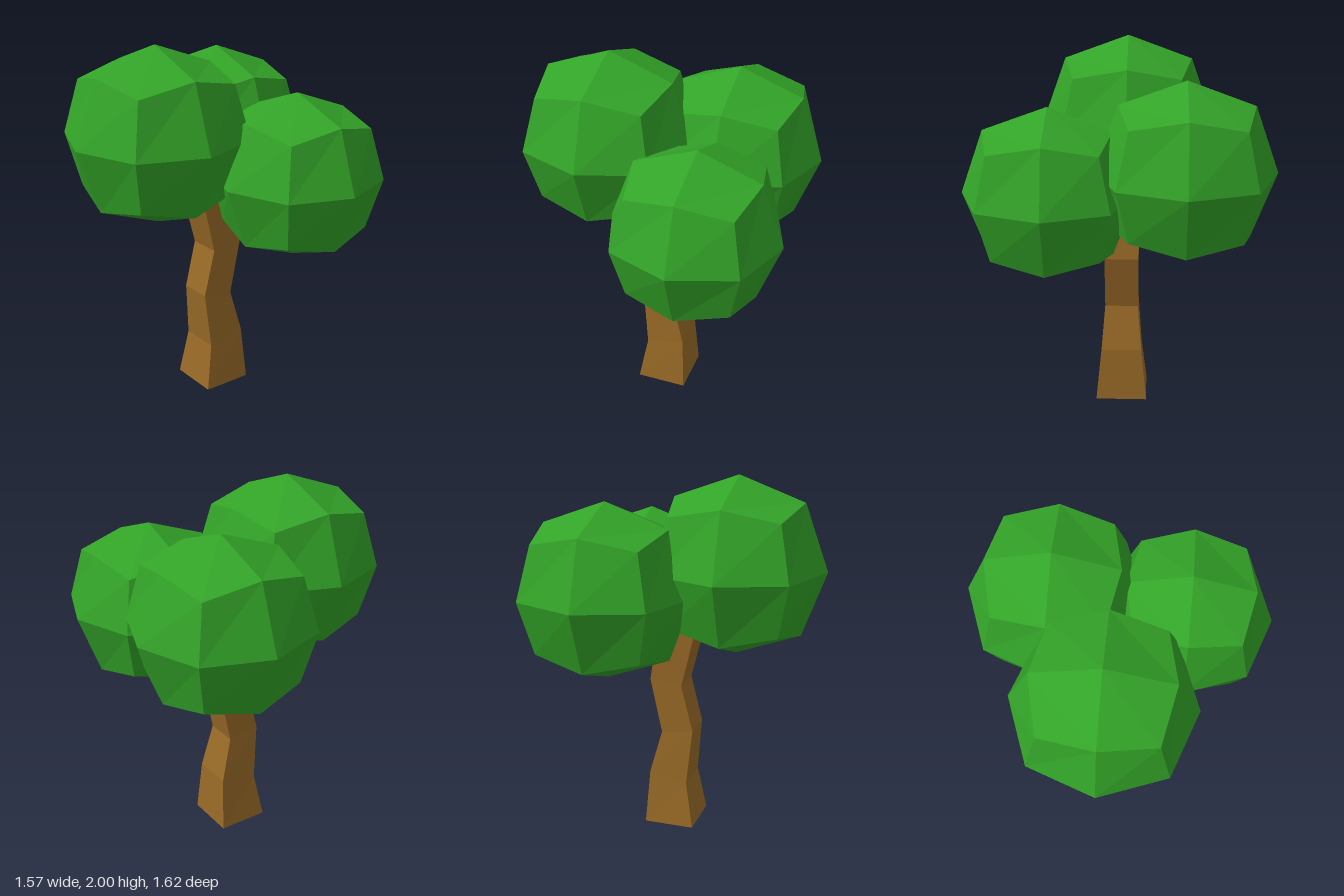
import * as THREE from 'three';

const leafGreen = new THREE.MeshStandardMaterial({ name: 'leaf green', color: 0x33a428 });
const barkBrown = new THREE.MeshStandardMaterial({ name: 'bark brown', color: 0x996a27 });

// Separate the faces so every facet is shaded flat
function faceted(geometry) {
  const g = geometry.toNonIndexed();
  g.computeVertexNormals();
  return g;
}

// Leaf ball: a 2x2x2 cube grid, its edge midpoints and corners pulled in towards a sphere
function leafBall(name, radius, x, y, z) {
  const g = new THREE.BoxGeometry(2, 2, 2, 2, 2, 2);
  const pos = g.attributes.position;
  const pull = [0, 1, 0.733, 0.606]; // face centre, edge midpoint, corner
  const v = new THREE.Vector3();
  for (let i = 0; i < pos.count; i++) {
    v.fromBufferAttribute(pos, i).round();
    const axes = Math.abs(v.x) + Math.abs(v.y) + Math.abs(v.z);
    v.multiplyScalar(radius * pull[axes]);
    pos.setXYZ(i, v.x, v.y, v.z);
  }
  const mesh = new THREE.Mesh(faceted(g), leafGreen);
  mesh.name = name;
  mesh.position.set(x, y, z);
  return mesh;
}

// Crooked four-sided trunk lofted through tilted rings
function trunk() {
  // left x, left y, right x, right y, front z, back z
  const rings = [
    [-0.095, 0, 0.185, 0, 0.13, -0.155],
    [-0.05, 0.26, 0.165, 0.305, 0.1, -0.125],
    [-0.08, 0.575, 0.1, 0.55, 0.08, -0.103],
    [-0.015, 0.835, 0.165, 0.86, 0.08, -0.105],
    [-0.15, 1.37, 0.07, 1.42, 0.09, -0.125],
  ];
  const points = [];
  const index = [];
  for (const [lx, ly, rx, ry, f, b] of rings) {
    points.push(lx, ly, f, rx, ry, f, rx, ry, b, lx, ly, b);
  }
  for (let r = 0; r < rings.length - 1; r++) {
    for (let s = 0; s < 4; s++) {
      const a = r * 4 + s, b = r * 4 + (s + 1) % 4;
      index.push(a, b, b + 4, a, b + 4, a + 4);
    }
  }
  // End caps
  const t = (rings.length - 1) * 4;
  index.push(0, 2, 1, 0, 3, 2, t, t + 1, t + 2, t, t + 2, t + 3);
  const g = new THREE.BufferGeometry();
  g.setAttribute('position', new THREE.Float32BufferAttribute(points, 3));
  g.setIndex(index);
  const mesh = new THREE.Mesh(faceted(g), barkBrown);
  mesh.name = 'trunk';
  return mesh;
}

export function createModel() {
  const tree = new THREE.Group();
  tree.name = 'tree';
  tree.add(
    trunk(),
    leafBall('upperFoliage', 0.478, -0.307, 1.522, -0.037),
    leafBall('backFoliage', 0.47, 0.314, 1.409, -0.344),
    leafBall('frontFoliage', 0.453, 0.314, 1.288, 0.356),
  );
  return tree;
}
